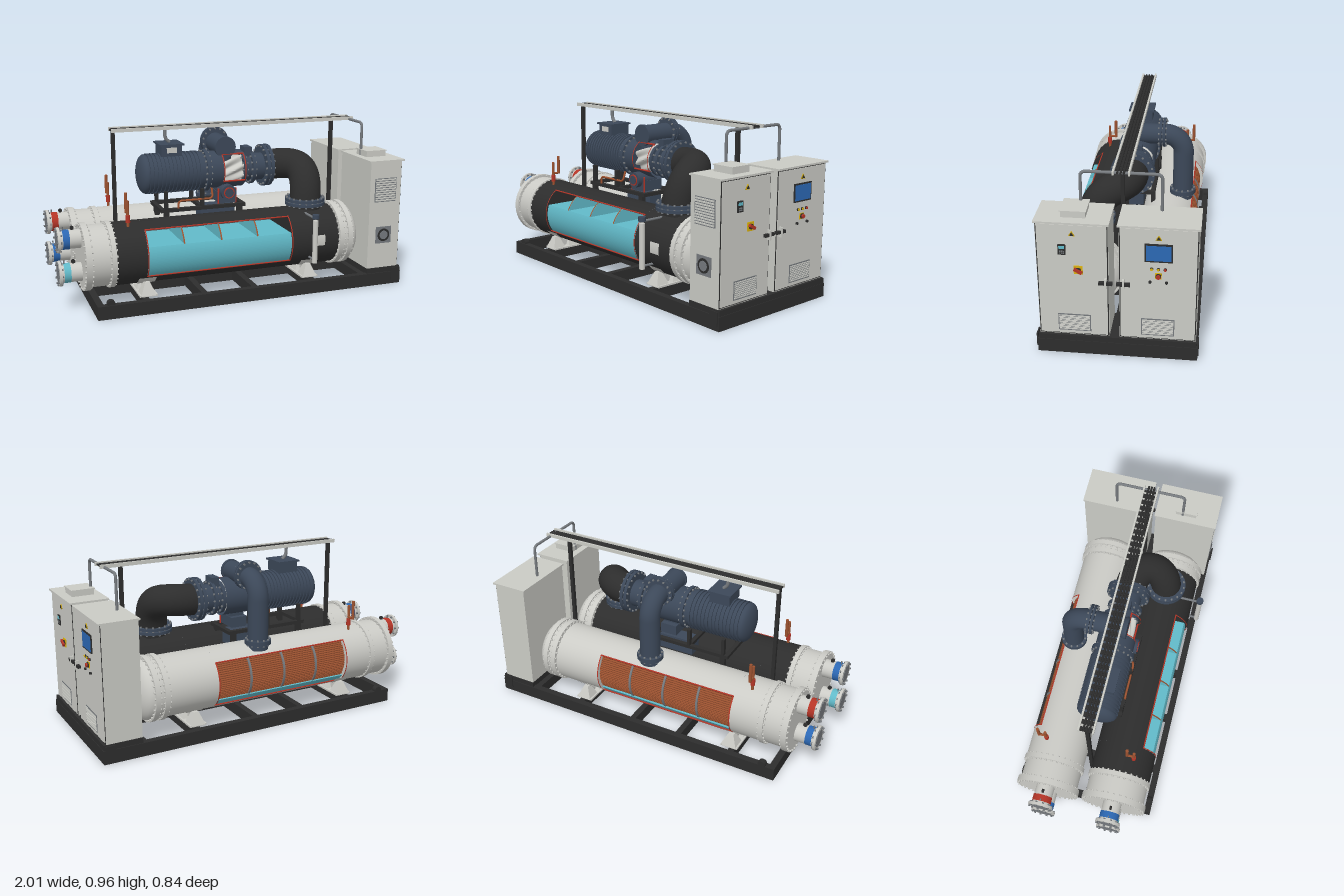
import * as THREE from 'three';
import { mergeGeometries } from 'three/addons/utils/BufferGeometryUtils.js';

const V = (p) => new THREE.Vector3(...p);
const rad = THREE.MathUtils.degToRad;
const paint = (name, color) => {
  const m = new THREE.MeshStandardMaterial({ color, side: THREE.DoubleSide });
  m.name = name;
  return m;
};

export function createModel() {
  const dark = paint('black', 0x2d2d2d), panel = paint('cabinetGrey', 0xcacbc5), vessel = paint('lightGrey', 0xcbcbc6),
    slate = paint('slate', 0x3c4859), cyan = paint('cyan', 0x62bac9), blue = paint('blue', 0x2c68b4),
    copper = paint('copper', 0x9c5230), red = paint('red', 0xb53527), yellow = paint('yellow', 0xd9b010),
    grey = paint('midGrey', 0x75797d);
  const model = new THREE.Group();
  model.name = 'waterChiller';
  let group = model;
  const part = (name) => { group = new THREE.Group(); group.name = name; model.add(group); };
  const add = (name, mat, geo) => {
    const m = new THREE.Mesh(geo, mat);
    m.name = name;
    group.add(m);
    return m;
  };
  const box = (name, mat, x0, x1, y0, y1, z0, z1) =>
    add(name, mat, new THREE.BoxGeometry(x1 - x0, y1 - y0, z1 - z0).translate((x0 + x1) / 2, (y0 + y1) / 2, (z0 + z1) / 2));
  const turn = (geo, axis) => axis === 'x' ? geo.rotateZ(-Math.PI / 2) : axis === 'z' ? geo.rotateX(Math.PI / 2) : geo;
  const rod = (name, mat, axis, x, y, z, r, len, seg = 32) =>
    add(name, mat, turn(new THREE.CylinderGeometry(r, r, len, seg), axis).translate(x, y, z));
  // Flange disc with a ring of bolts through it
  const flange = (name, mat, axis, x, y, z, r, len, bolts = 16, boltMat = mat) => {
    rod(name, mat, axis, x, y, z, r, len, 40);
    const ring = [];
    for (let i = 0; i < bolts; i++) {
      const a = i / bolts * Math.PI * 2;
      ring.push(new THREE.CylinderGeometry(0.006, 0.006, len + 0.016, 6).translate((r - 0.009) * Math.sin(a), 0, (r - 0.009) * Math.cos(a)));
    }
    add(name + 'Bolts', boltMat, turn(mergeGeometries(ring), axis).translate(x, y, z));
  };
  // Open cylinder wall along x, between two elevation angles measured from +z
  const wall = (name, mat, x0, x1, y, z, r, from, to) =>
    add(name, mat, turn(new THREE.CylinderGeometry(r, r, x1 - x0, 48, 1, true, rad(-to), rad(to - from)), 'x').translate((x0 + x1) / 2, y, z));
  const lathe = (name, mat, pts, y, z) =>
    add(name, mat, turn(new THREE.LatheGeometry(pts.map(p => new THREE.Vector2(p[0], p[1])), 40), 'x').translate(0, y, z));
  // Pipe along straight runs joined by bends of the given size
  const pipe = (name, mat, points, r, bend, seg = 80) => {
    const p = points.map(V), path = new THREE.CurvePath();
    let from = p[0];
    for (let i = 1; i < p.length - 1; i++) {
      const a = p[i].clone().add(p[i - 1].clone().sub(p[i]).setLength(bend));
      const b = p[i].clone().add(p[i + 1].clone().sub(p[i]).setLength(bend));
      path.add(new THREE.LineCurve3(from, a));
      path.add(new THREE.CubicBezierCurve3(a, a.clone().lerp(p[i], 0.55), b.clone().lerp(p[i], 0.55), b));
      from = b;
    }
    path.add(new THREE.LineCurve3(from, p[p.length - 1]));
    add(name, mat, new THREE.TubeGeometry(path, seg, r, 20));
  };
  const dome = (x, r, depth) => Array.from({ length: 9 }, (_, i) => {
    const a = i / 8 * Math.PI / 2;
    return [r * Math.cos(a), x + depth * Math.sin(a)];
  });
  const liquid = (name, x0, x1, y, z, r, level) => {
    const a = Math.asin(level / r), s = new THREE.Shape();
    s.absarc(0, 0, r, Math.PI - a, Math.PI * 2 + a, false);
    add(name, cyan, new THREE.ExtrudeGeometry(s, { depth: x1 - x0, bevelEnabled: false, curveSegments: 40 }).rotateY(Math.PI / 2).translate(x0, y, z));
  };

  // Base frame
  part('baseFrame');
  for (const z of [-0.415, -0.01, 0.36]) box('longRail', dark, -0.83, 0.993, 0, 0.075, z, z + 0.037);
  for (const x of [-0.83, 0.956]) box('endBeam', dark, x, x + 0.037, 0, 0.075, -0.41, 0.39);
  for (const x of [-0.57, -0.24, 0.06, 0.42, 0.74]) box('crossBeam', dark, x, x + 0.035, 0.005, 0.07, -0.41, 0.39);
  for (const z of [-0.4, 0.375]) rod('liftingLug', dark, 'z', -0.755, 0.08, z, 0.022, 0.03);
  box('cabinetPlinth', dark, 0.775, 0.99, 0.07, 0.105, -0.41, 0.39);
  for (const z of [-0.42, 0.397]) box('cornerPlate', dark, 0.93, 0.985, 0.025, 0.1, z, z + 0.007);

  // Both pressure vessels, each with a cutaway window
  const addVessel = (name, mat, y, z, r, cutFrom, cutTo, bands) => {
    part(name);
    const a = -0.54, b = 0.31;
    rod('shellLeft', mat, 'x', (-0.71 + a) / 2, y, z, r, a + 0.71, 48);
    rod('shellRight', mat, 'x', (0.6 + b) / 2, y, z, r, 0.6 - b, 48);
    wall('cutShell', mat, a, b, y, z, r, cutTo, cutFrom + 360);
    wall('shellLining', grey, a, b, y, z, r - 0.004, cutTo, cutFrom + 360);
    for (const c of [cutFrom, cutTo])
      rod('windowEdge', red, 'x', (a + b) / 2, y + r * Math.sin(rad(c)), z + r * Math.cos(rad(c)), 0.004, b - a, 8);
    for (const x of [a, b - 0.006]) wall('windowEnd', red, x, x + 0.006, y, z, r + 0.002, cutFrom, cutTo);
    // Heads and bolted joints
    for (const x of [0.618, 0.672]) flange('headFlange', vessel, 'x', x, y, z, r + 0.013, 0.028, 32);
    rod('headNeck', vessel, 'x', 0.64, y, z, r + 0.004, 0.06, 48);
    lathe('domedHead', vessel, dome(0.685, r, 0.076), y, z);
    flange('boxFlange', vessel, 'x', -0.722, y, z, r + 0.008, 0.026, 32);
    rod('waterBox', vessel, 'x', -0.79, y, z, r - 0.004, 0.13, 48);
    flange('coverFlange', vessel, 'x', -0.857, y, z, r + 0.012, 0.032, 32);
    // Water nozzles with coloured bands
    [0.4, 0.212].forEach((ny, i) => {
      rod('nozzle', vessel, 'x', -0.93, ny, z, 0.052, 0.12);
      rod('nozzleBand', bands[i], 'x', -0.952, ny, z, 0.054, 0.036);
      flange('nozzleFlange', vessel, 'x', -0.991, ny, z, 0.07, 0.014, 10, grey);
      rod('nozzleBore', grey, 'x', -0.9975, ny, z, 0.05, 0.004);
      rod('gaugeStem', grey, 'y', -0.965, ny + 0.052, z, 0.004, 0.04, 8);
      rod('gauge', dark, 'z', -0.915, ny + 0.062, z, 0.011, 0.012, 16);
    });
    // Saddles
    for (const x of [-0.535, 0.43]) {
      wall('saddleWrap', vessel, x - 0.05, x + 0.05, y, z, r + 0.004, 220, 320);
      box('saddleWeb', vessel, x - 0.01, x + 0.01, 0.075, y - r + 0.02, z - 0.12, z + 0.12);
      box('saddleFoot', vessel, x - 0.05, x + 0.05, 0.075, 0.085, z - 0.15, z + 0.15);
      for (const s of [-1, 0, 1])
        add('saddleGusset', vessel, new THREE.CylinderGeometry(0.02, 0.06, 0.07, 4).toNonIndexed().rotateY(Math.PI / 4)
          .translate(x, 0.115, z + s * 0.11)).geometry.computeVertexNormals();
    }
    // Relief valve
    const vz = z + (z > 0 ? 0.06 : -0.06);
    rod('reliefStem', copper, 'y', -0.62, y + 0.23, vz, 0.008, 0.15, 12);
    rod('reliefBody', red, 'y', -0.62, y + 0.205, vz, 0.013, 0.04, 12);
    rod('reliefArm', copper, 'z', -0.62, y + 0.235, vz - 0.02, 0.007, 0.05, 12);
    rod('reliefOutlet', copper, 'y', -0.62, y + 0.285, vz - 0.04, 0.009, 0.11, 12);
  };
  addVessel('evaporator', dark, 0.295, 0.18, 0.175, -37, 56, [blue, cyan]);
  liquid('evaporatorWater', -0.535, 0.305, 0.295, 0.18, 0.167, 0.062);
  for (const x of [-0.33, -0.115, 0.1]) {
    rod('baffle', cyan, 'x', x, 0.295, 0.18, 0.165, 0.005, 40);
    wall('baffleRim', copper, x - 0.004, x + 0.004, 0.295, 0.18, 0.167, 22, 56);
  }
  wall('namePlate', vessel, 0.44, 0.51, 0.295, 0.18, 0.179, -8, 12);
  rod('levelColumn', vessel, 'y', 0.425, 0.31, 0.4, 0.015, 0.25, 20);
  rod('levelCap', slate, 'y', 0.425, 0.458, 0.4, 0.02, 0.024, 16);
  for (const y of [0.2, 0.445]) rod('levelPipe', grey, 'z', 0.425, y, 0.33, 0.007, 0.14, 10);

  addVessel('condenser', vessel, 0.29, -0.21, 0.17, 135, 229, [red, blue]);
  liquid('condensate', -0.535, 0.305, 0.29, -0.21, 0.163, -0.095);
  rod('tubeCore', copper, 'x', -0.115, 0.29, -0.21, 0.141, 0.84, 48);
  const tubes = [];
  for (let a = 130; a <= 222; a += 4.5)
    tubes.push(turn(new THREE.CylinderGeometry(0.0055, 0.0055, 0.84, 8), 'x')
      .translate(-0.115, 0.29 + 0.147 * Math.sin(rad(a)), -0.21 + 0.147 * Math.cos(rad(a))));
  add('tubeBundle', copper, mergeGeometries(tubes));
  for (const x of [-0.33, -0.115, 0.1]) rod('tubeSupport', grey, 'x', x, 0.29, -0.21, 0.157, 0.012, 48);

  // Liquid line between the vessels
  part('liquidLine');
  pipe('liquidPipe', copper, [[0.5, 0.14, -0.2], [0.5, 0.1, -0.13], [0.5, 0.1, 0.13], [0.47, 0.14, 0.19]], 0.017, 0.035);
  rod('liquidHeader', copper, 'x', 0.455, 0.108, 0.015, 0.024, 0.15, 20);
  rod('filterDrier', vessel, 'y', 0.52, 0.163, 0.015, 0.015, 0.055, 16);
  rod('filterStem', dark, 'y', 0.52, 0.2, 0.015, 0.005, 0.03, 8);
  rod('lineValve', red, 'z', 0.5, 0.1, 0.08, 0.022, 0.03, 12);

  // Motor with cooling fins
  part('motor');
  const my = 0.685, mz = -0.01;
  rod('motorBody', slate, 'x', -0.29, my, mz, 0.108, 0.35, 40);
  for (let i = 0; i < 14; i++) rod('coolingFin', slate, 'x', -0.445 + i * 0.0225, my, mz, 0.116, 0.01, 40);
  lathe('motorEndBell', slate, dome(-0.46, 0.113, -0.045).reverse(), my, mz);
  box('terminalBox', slate, -0.375, -0.255, 0.79, 0.85, -0.07, 0.06);
  box('terminalLid', slate, -0.385, -0.245, 0.85, 0.86, -0.08, 0.07);
  box('terminalLabel', vessel, -0.345, -0.285, 0.81, 0.84, 0.06, 0.063);
  pipe('motorConduit', grey, [[-0.31, 0.86, -0.01], [-0.335, 0.885, -0.01], [-0.335, 0.94, -0.01]], 0.01, 0.015, 16);

  // Screw compressor with open casing
  part('compressor');
  flange('motorFlange', slate, 'x', -0.105, my, mz, 0.122, 0.022, 20, grey);
  rod('casingInlet', slate, 'x', -0.055, my, mz, 0.108, 0.08, 40);
  wall('rotorCasing', slate, -0.015, 0.12, my, mz, 0.108, 60, 328);
  for (const a of [60, 328]) rod('casingEdge', red, 'x', 0.052, my + 0.108 * Math.sin(rad(a)), mz + 0.108 * Math.cos(rad(a)), 0.005, 0.135, 8);
  for (const x of [-0.015, 0.115]) wall('casingEnd', red, x, x + 0.006, my, mz, 0.11, -32, 60);
  const rotor = new THREE.CylinderGeometry(0.078, 0.078, 0.135, 96, 16), rp = rotor.attributes.position;
  for (let i = 0; i < rp.count; i++) {
    const k = 1 + 0.15 * Math.cos(8 * Math.atan2(rp.getX(i), rp.getZ(i)) + 45 * rp.getY(i));
    rp.setXYZ(i, rp.getX(i) * k, rp.getY(i), rp.getZ(i) * k);
  }
  rotor.computeVertexNormals();
  add('screwRotor', vessel, turn(rotor, 'x').translate(0.052, my, mz));
  rod('casingOutlet', slate, 'x', 0.19, my, mz, 0.08, 0.15, 40);
  flange('casingFlange', slate, 'x', 0.125, my, mz, 0.095, 0.02, 14, grey);
  flange('valveFlange', slate, 'x', 0.178, my, mz, 0.1, 0.018, 14, grey);
  box('valveBlock', slate, 0.135, 0.18, 0.745, 0.81, -0.05, 0.03);
  rod('oilPort', slate, 'z', 0.01, 0.565, 0.04, 0.045, 0.14);
  rod('oilPortRing', red, 'z', 0.01, 0.565, 0.11, 0.032, 0.008);
  rod('oilPortCover', slate, 'z', 0.01, 0.565, 0.114, 0.026, 0.006);
  rod('dischargeNeck', slate, 'y', 0.01, 0.75, -0.01, 0.052, 0.14);

  // Discharge pipe to the condenser
  part('dischargePipe');
  pipe('dischargeTube', slate, [[0.01, 0.82, 0.04], [0.01, 0.82, -0.275], [0.01, 0.43, -0.275]], 0.058, 0.105);
  rod('dischargeCap', slate, 'z', 0.01, 0.82, 0.04, 0.063, 0.016);
  for (const z of [-0.146, -0.165]) flange('dischargeFlange', slate, 'z', 0.01, 0.83, z, 0.083, 0.013, 14, grey);
  flange('condenserFlange', slate, 'y', 0.01, 0.475, -0.275, 0.075, 0.025, 12, grey);

  // Suction elbow from the evaporator
  part('suctionElbow');
  for (const x of [0.26, 0.285]) flange('elbowInletFlange', slate, 'x', x, 0.69, mz, 0.124, 0.018, 18, grey);
  const bend = [[0.28, 0.69, -0.01], [0.52, 0.7, -0.02], [0.475, 0.72, 0.18], [0.457, 0.46, 0.18]].map(V);
  add('elbow', dark, new THREE.TubeGeometry(new THREE.CubicBezierCurve3(...bend), 40, 0.09, 32));
  for (const y of [0.49, 0.512]) flange('elbowOutletFlange', slate, 'y', 0.457, y, 0.18, 0.116, 0.016, 18, grey);

  // Compressor skid and oil lines
  part('compressorSkid');
  for (const z of [-0.12, 0.09]) {
    box('skidRail', dark, -0.4, 0.11, 0.48, 0.5, z, z + 0.025);
    for (const x of [-0.38, 0.06]) box('skidBracket', dark, x, x + 0.03, 0.4, 0.48, z, z + 0.025);
    for (const x of [-0.375, -0.16]) box('motorFoot', dark, x, x + 0.018, 0.5, 0.6, z, z + 0.025);
  }
  for (const x of [-0.4, -0.16, 0.085]) box('skidCrossbar', dark, x, x + 0.025, 0.48, 0.5, -0.12, 0.115);
  box('portPedestal', slate, -0.04, 0.06, 0.5, 0.56, -0.06, 0.08);
  box('oilSump', slate, -0.14, 0.07, 0.39, 0.48, -0.05, 0.035);
  pipe('oilLine', copper, [[-0.295, 0.5, 0.11], [-0.295, 0.542, 0.11], [-0.09, 0.542, 0.11], [-0.09, 0.6, 0.09]], 0.006, 0.02, 40);
  for (const x of [-0.043, 0.063]) rod('oilRiser', red, 'y', x, 0.54, 0.075, 0.005, 0.09, 10);

  // Overhead cable tray
  part('cableTray');
  for (const x of [-0.645, 0.7]) box('trayPost', dark, x, x + 0.02, 0.07, 0.94, -0.02, 0);
  for (const z of [-0.06, 0.018]) box('traySide', panel, -0.65, 0.84, 0.937, 0.957, z, z + 0.01);
  for (let i = 0; i < 38; i++) box('trayRung', dark, -0.645 + i * 0.039, -0.621 + i * 0.039, 0.939, 0.946, -0.055, 0.022);
  for (const z of [-0.03, -0.014, 0.002]) rod('trayCable', dark, 'x', 0.095, 0.948, z, 0.006, 1.48, 8);
  pipe('cableConduit', grey, [[0.815, 0.74, 0.185], [0.815, 0.942, 0.185], [0.815, 0.942, -0.215], [0.815, 0.74, -0.215]], 0.008, 0.025, 120);

  // Control cabinets: body, roof, door, vent, handle and warning sign
  const face = (name, mat, z, y, w, h, out = 0.006) => box(name, mat, 0.978, 0.978 + out, y - h / 2, y + h / 2, z - w / 2, z + w / 2);
  const button = (name, mat, z, y, r, out = 0.01) => rod(name, mat, 'x', 0.982 + out / 2, y, z, r, out, 18);
  const triangle = (name, mat, z, y, r, out) =>
    add(name, mat, turn(new THREE.CylinderGeometry(r, r, 0.005, 3), 'x').rotateX(-Math.PI / 2).translate(out, y, z));
  [['driveCabinet', 0.03, 0.385, 0.205, 0.045], ['controlCabinet', -0.405, -0.02, -0.213, -0.042]].forEach(([name, z0, z1, zc, zh]) => {
    part(name);
    box('cabinetBody', panel, 0.775, 0.975, 0.105, 0.74, z0, z1);
    box('cabinetRoof', panel, 0.768, 0.99, 0.74, 0.75, z0 - 0.006, z1 + 0.006);
    box('doorSeal', dark, 0.974, 0.977, 0.109, 0.738, z0 + 0.002, z1 - 0.002);
    box('door', panel, 0.975, 0.98, 0.114, 0.733, z0 + 0.007, z1 - 0.007);
    face('ventFrame', grey, zc, 0.18, 0.165, 0.098, 0.004);
    for (let i = 0; i < 9; i++) face('ventSlat', panel, zc, 0.141 + i * 0.0098, 0.155, 0.006, 0.007);
    face('handleBar', dark, zh, 0.424, 0.068, 0.016, 0.018);
    box('handleGrip', panel, 0.98, 0.999, 0.398, 0.45, zh - 0.005, zh + 0.005);
    triangle('warningSign', yellow, zc, 0.686, 0.018, 0.982);
    triangle('warningMark', dark, zc, 0.686, 0.012, 0.984);
  });
  // Operator panel on the control cabinet
  face('screenBezel', dark, -0.213, 0.607, 0.136, 0.098, 0.008);
  face('screen', blue, -0.213, 0.607, 0.122, 0.082, 0.01);
  [[-0.18, yellow], [-0.213, yellow], [-0.246, red]].forEach(([z, m]) => {
    button('lightRing', dark, z, 0.519, 0.008, 0.006);
    button('pilotLight', m, z, 0.519, 0.0065);
  });
  face('stopPlate', yellow, -0.213, 0.48, 0.032, 0.032);
  button('stopRing', dark, -0.213, 0.48, 0.014, 0.008);
  button('stopButton', red, -0.213, 0.48, 0.011, 0.016);
  for (const z of [-0.173, -0.253]) button('keySwitch', dark, z, 0.447, 0.007);
  // Fittings on the drive cabinet
  group = model.getObjectByName('driveCabinet');
  face('keypad', dark, 0.256, 0.6, 0.038, 0.056, 0.008);
  face('keypadScreen', cyan, 0.256, 0.613, 0.028, 0.016, 0.01);
  for (let i = 0; i < 6; i++) face('key', grey, 0.247 + (i % 3) * 0.009, 0.582 + Math.floor(i / 3) * 0.01, 0.006, 0.006, 0.01);
  face('switchPlate', yellow, 0.178, 0.489, 0.044, 0.046);
  button('switchBase', dark, 0.178, 0.489, 0.014, 0.008);
  add('switchHandle', red, new THREE.BoxGeometry(0.012, 0.015, 0.044).rotateX(-0.5).translate(0.994, 0.489, 0.178));
  box('roofBox', panel, 0.81, 0.935, 0.75, 0.782, 0.145, 0.265);
  box('roofBoxLid', panel, 0.805, 0.94, 0.782, 0.787, 0.14, 0.27);
  box('sideVent', grey, 0.805, 0.945, 0.505, 0.645, 0.385, 0.387);
  for (let i = 0; i < 10; i++) box('sideLouvre', panel, 0.81, 0.94, 0.511 + i * 0.0135, 0.519 + i * 0.0135, 0.386, 0.391);
  box('fanPlate', grey, 0.823, 0.923, 0.255, 0.355, 0.385, 0.389);
  rod('fanGrille', dark, 'z', 0.873, 0.305, 0.389, 0.038, 0.005);
  rod('fanHub', grey, 'z', 0.873, 0.305, 0.391, 0.026, 0.005);
  return model;
}
